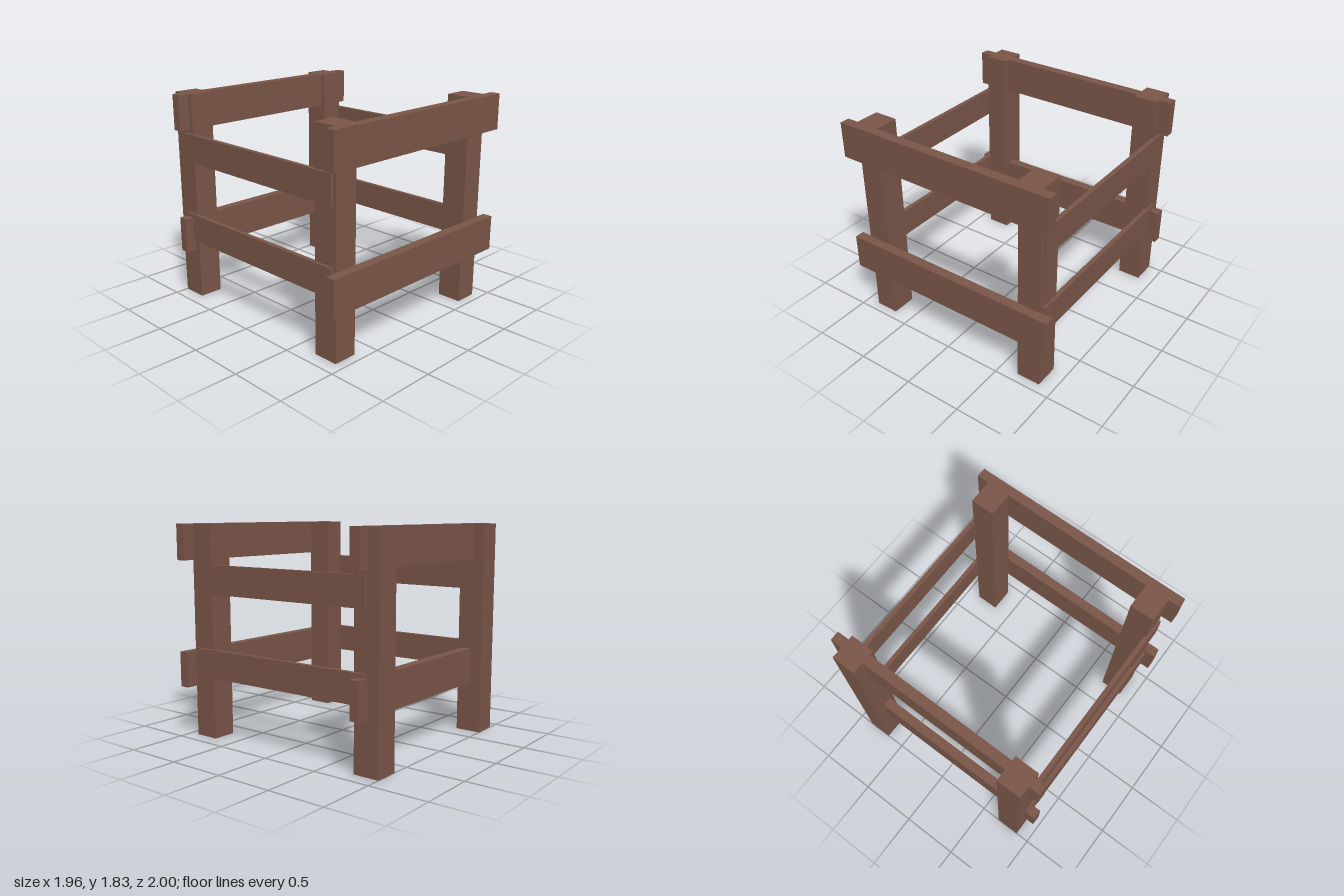
import * as THREE from 'three';

const wood = new THREE.MeshStandardMaterial({ color: 0x795548, flatShading: true });

// Box given by its extents along each axis
function beam(name, [x0, x1], [y0, y1], [z0, z1]) {
  const mesh = new THREE.Mesh(new THREE.BoxGeometry(x1 - x0, y1 - y0, z1 - z0), wood);
  mesh.position.set((x0 + x1) / 2, (y0 + y1) / 2, (z0 + z1) / 2);
  mesh.name = name;
  return mesh;
}

export function createModel() {
  const model = new THREE.Group();
  model.name = 'woodenFrame';

  // Four square posts
  const postX = { right: [-0.88, -0.673], left: [0.665, 0.872] };
  const postZ = { front: [0.702, 0.92], back: [-1, -0.777] };
  for (const [end, z] of Object.entries(postZ))
    for (const [side, x] of Object.entries(postX))
      model.add(beam(`${end}${side === 'left' ? 'Left' : 'Right'}Post`, x, [0, 1.825], z));

  // Thick rails: fixed outside the front posts, let into the back posts
  const railZ = { front: [0.915, 1], back: [-0.9, -0.817] };
  const railY = { Lower: [0.437, 0.742], Upper: [1.522, 1.827] };
  for (const [end, z] of Object.entries(railZ))
    for (const [level, y] of Object.entries(railY))
      model.add(beam(`${end}${level}Rail`, [-0.978, 0.978], y, z));

  // Thin side boards let into the outer faces of the posts
  const boardX = { right: [-0.905, -0.866], left: [0.857, 0.896] };
  const boardY = { Lower: [0.532, 0.775], Upper: [1.245, 1.489] };
  for (const [side, x] of Object.entries(boardX))
    for (const [level, y] of Object.entries(boardY))
      model.add(beam(`${side}${level}SideBoard`, x, y, [-0.886, 0.89]));

  return model;
}
